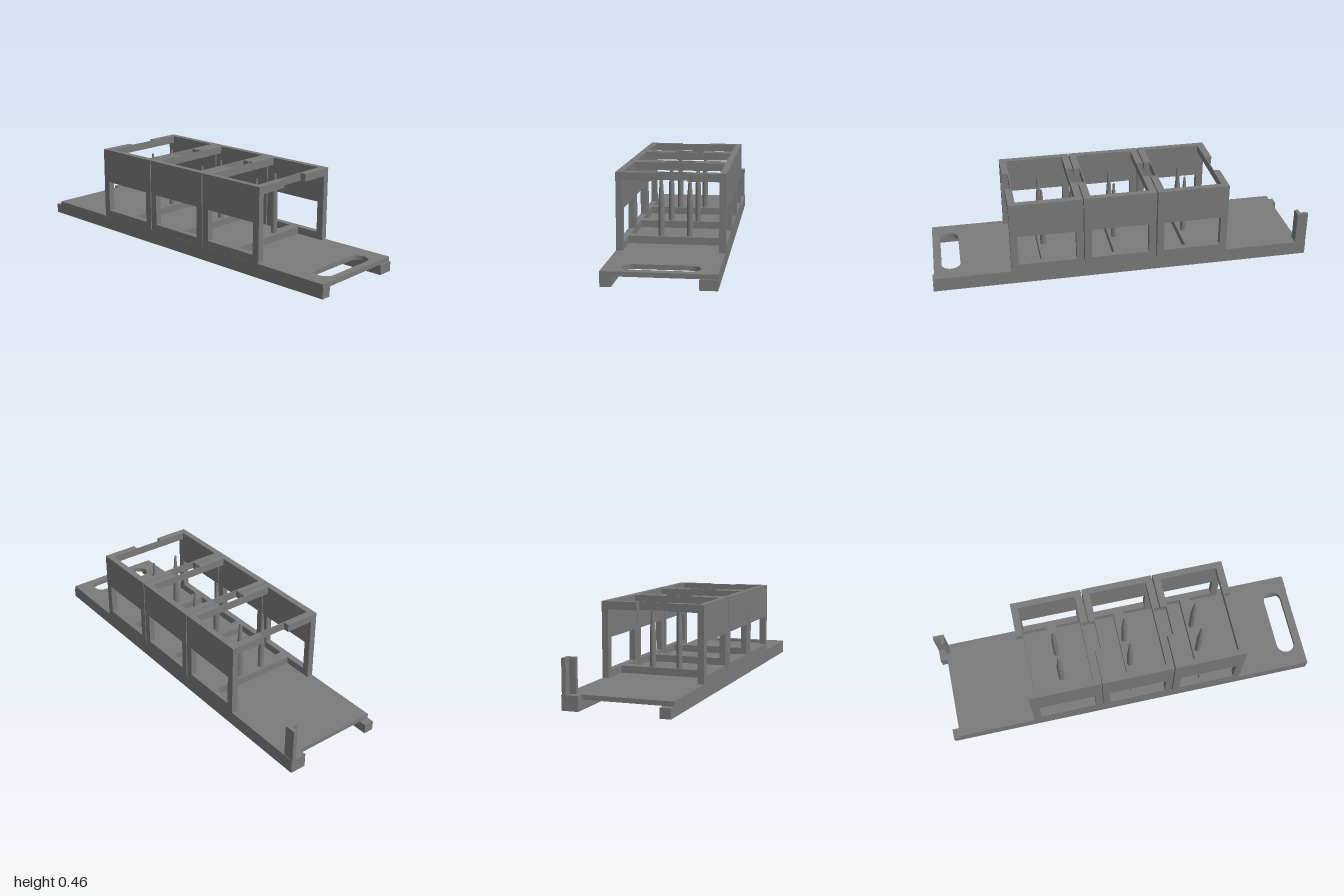
import * as THREE from 'three';

const mat = new THREE.MeshStandardMaterial({ color: 0x7a7a7a });

function add(parent, name, geo) {
  const mesh = new THREE.Mesh(geo, mat);
  mesh.name = name;
  parent.add(mesh);
  return mesh;
}

// Box given by its minimum and maximum along each axis
function box(parent, name, [x0, x1], [y0, y1], [z0, z1]) {
  const mesh = add(parent, name, new THREE.BoxGeometry(x1 - x0, y1 - y0, z1 - z0));
  mesh.position.set((x0 + x1) / 2, (y0 + y1) / 2, (z0 + z1) / 2);
  return mesh;
}

function rect(target, x0, x1, y0, y1) {
  target.moveTo(x0, y0);
  target.lineTo(x1, y0);
  target.lineTo(x1, y1);
  target.lineTo(x0, y1);
  target.closePath();
  return target;
}

const FLOOR = 0.073, TOP = 0.459, BAR = 0.111;
const HALF_X = 0.268, INNER_X = 0.235, HALF_Z = 0.189, INNER_Z = 0.152;

// Base plate with a rounded handle slot near the front
function buildBase(parent) {
  const shape = rect(new THREE.Shape(), -0.269, 0.266, -0.991, 0.962);
  const slot = new THREE.Path();
  const r = 0.049, cx = 0.131, cy = -0.901;
  slot.absarc(cx, cy, r, -Math.PI / 2, Math.PI / 2, false);
  slot.absarc(-cx - 0.004, cy, r, Math.PI / 2, Math.PI * 1.5, false);
  slot.closePath();
  shape.holes.push(slot);
  const geo = new THREE.ExtrudeGeometry(shape, { depth: FLOOR - 0.05, bevelEnabled: false, curveSegments: 16 });
  add(parent, 'basePlate', geo.rotateX(-Math.PI / 2).translate(0, 0.05, 0));

  // Runners under the plate
  box(parent, 'rightRunner', [-0.269, -0.216], [0, 0.05], [-1, 0.991]);
  box(parent, 'leftRunner', [0.182, 0.266], [0, 0.05], [-1, 1]);

  // Rear corner block with an angled upright
  box(parent, 'cornerBlock', [0.182, 0.266], [0.05, FLOOR], [-1, -0.962]);
  box(parent, 'uprightOuterWall', [0.243, 0.263], [FLOOR, 0.244], [-1, -0.942]);
  box(parent, 'uprightCrossWall', [0.21, 0.243], [FLOOR, 0.244], [-0.962, -0.942]);
}

// Open holder frame with side windows, notched top beams and two pins
function buildHolder() {
  const holder = new THREE.Group();
  holder.name = 'holder';

  const side = rect(new THREE.Shape(), -HALF_Z, HALF_Z, FLOOR, TOP);
  side.holes.push(rect(new THREE.Path(), -INNER_Z, INNER_Z, BAR, 0.276));
  const sideGeo = new THREE.ExtrudeGeometry(side, { depth: HALF_X - INNER_X, bevelEnabled: false })
    .rotateY(-Math.PI / 2);
  add(holder, 'leftSideWall', sideGeo).position.x = HALF_X;
  add(holder, 'rightSideWall', sideGeo).position.x = -INNER_X;

  // Top beams, cut back at the middle to a thin web
  const beam = new THREE.Shape();
  const thin = INNER_Z + 0.006;
  [[-INNER_X, INNER_Z], [INNER_X, INNER_Z], [INNER_X, HALF_Z], [0.08, HALF_Z],
    [0.08, thin], [-0.08, thin], [-0.08, HALF_Z], [-INNER_X, HALF_Z]]
    .forEach(([x, y], i) => (i ? beam.lineTo(x, y) : beam.moveTo(x, y)));
  const beamGeo = new THREE.ExtrudeGeometry(beam, { depth: TOP - 0.419, bevelEnabled: false })
    .rotateX(-Math.PI / 2).translate(0, 0.419, 0);
  add(holder, 'backTopBeam', beamGeo);
  add(holder, 'frontTopBeam', beamGeo).rotation.y = Math.PI;

  // Cross bar carrying the tapered pins
  box(holder, 'crossBar', [-INNER_X, INNER_X], [FLOOR, BAR], [-0.029, 0.029]);
  for (const x of [-0.072, 0.072]) {
    const body = new THREE.CylinderGeometry(0.0155, 0.0155, 0.18, 24, 1, true).translate(0, BAR + 0.09, 0);
    add(holder, 'pinBody', body).position.x = x;
    const h = 0.43 - BAR - 0.18;
    const tip = new THREE.CylinderGeometry(0.005, 0.0155, h, 24).translate(0, 0.43 - h / 2, 0);
    add(holder, 'pinTip', tip).position.x = x;
  }
  return holder;
}

export function createModel() {
  const model = new THREE.Group();
  model.name = 'holderRack';
  buildBase(model);
  for (let i = -1; i <= 1; i++) {
    const holder = buildHolder();
    holder.position.z = 0.023 + i * 0.384;
    model.add(holder);
  }
  return model;
}
